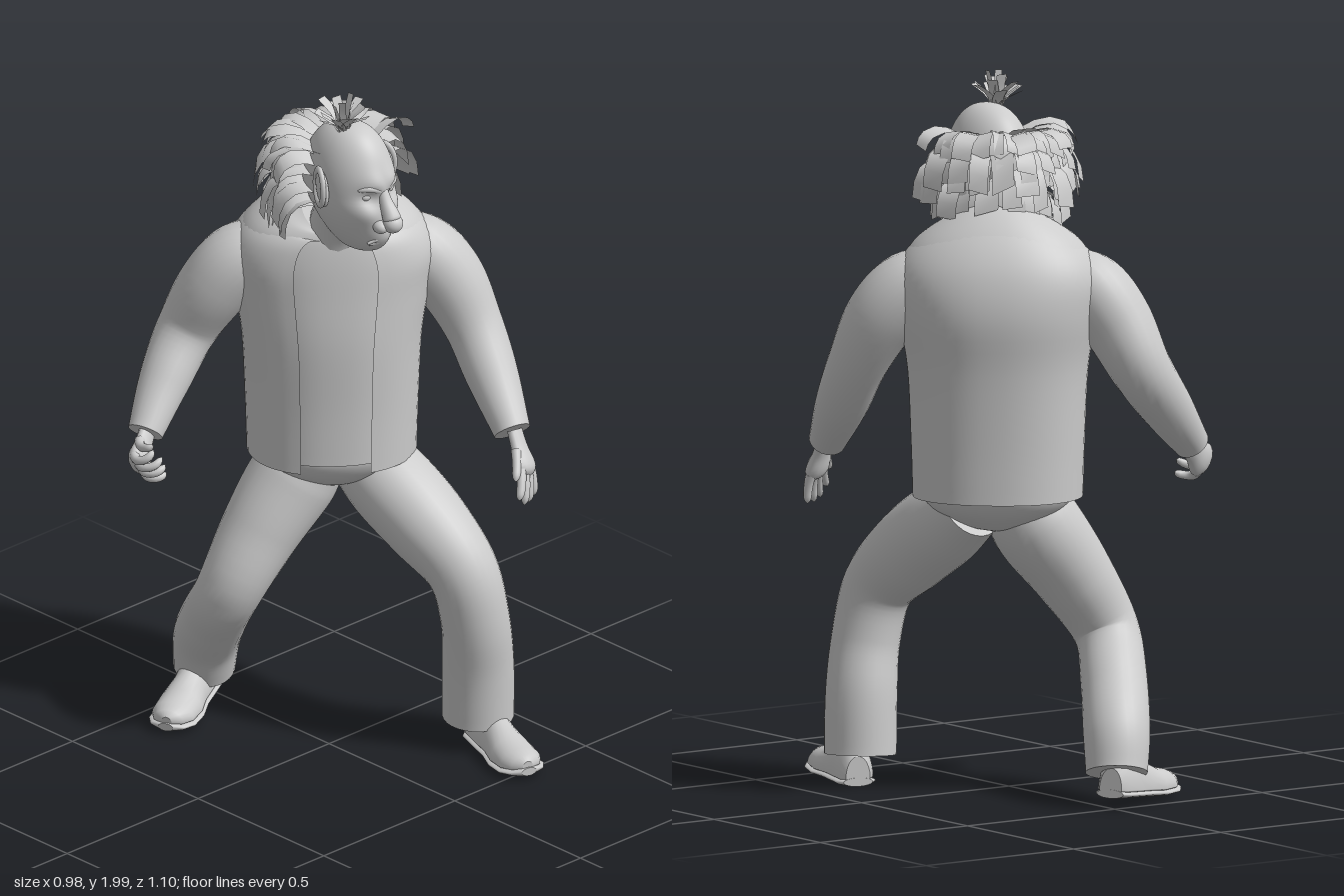
import * as THREE from 'three';
import { mergeGeometries } from 'three/addons/utils/BufferGeometryUtils.js';

const V = (x, y, z) => new THREE.Vector3(x, y, z);
const grey = new THREE.MeshStandardMaterial({ color: 0xcccccc });
const thin = new THREE.MeshStandardMaterial({ color: 0xcccccc, side: THREE.DoubleSide });

let seed = 7;
const rand = (a, b) => {
  seed = (seed * 16807) % 2147483647;
  return a + (b - a) * seed / 2147483647;
};

function add(parent, name, geometry, material = grey) {
  const mesh = new THREE.Mesh(geometry, material);
  mesh.name = name;
  parent.add(mesh);
  return mesh;
}

// Skin over a list of rings of points; closed rings also get end caps
function loft(rings, closed = true) {
  const n = rings[0].length, m = rings.length, pos = [], idx = [];
  rings.forEach(r => r.forEach(p => pos.push(p.x, p.y, p.z)));
  const w = closed ? n : n - 1;
  for (let i = 0; i < m - 1; i++) for (let j = 0; j < w; j++) {
    const a = i * n + j, b = i * n + (j + 1) % n;
    idx.push(a, b, b + n, a, b + n, a + n);
  }
  if (closed) [0, m - 1].forEach(i => {
    const base = pos.length / 3, c = V(0, 0, 0);
    rings[i].forEach(p => { c.addScaledVector(p, 1 / n); pos.push(p.x, p.y, p.z); });
    pos.push(c.x, c.y, c.z);
    for (let j = 0; j < n; j++) {
      const a = base + j, b = base + (j + 1) % n;
      i ? idx.push(a, b, base + n) : idx.push(b, a, base + n);
    }
  });
  const g = new THREE.BufferGeometry();
  g.setAttribute('position', new THREE.Float32BufferAttribute(pos, 3));
  g.setIndex(idx);
  g.computeVertexNormals();
  return g;
}

// Smooth interpolation of plain values, evenly spaced
const blend = pts => new THREE.CatmullRomCurve3(pts, false, 'catmullrom');

// Round limb through stations [x, y, z, radius]; tip rounds off the far end
function limb(st, steps = 24, sides = 20, tip = false, flat = 1, side = V(1, 0, 0)) {
  const path = new THREE.CatmullRomCurve3(st.map(s => V(s[0], s[1], s[2])));
  const rad = blend(st.map(s => V(s[3], 0, 0)));
  const rings = [];
  for (let i = 0; i <= steps; i++) {
    const k = i / steps, c = path.getPoint(k), t = path.getTangent(k);
    let r = rad.getPoint(k).x;
    if (tip) r *= Math.sqrt(Math.max(0.02, 1 - Math.max(0, (k - 0.75) / 0.25) ** 2));
    const u = side.clone().addScaledVector(t, -side.dot(t)).normalize(), v = t.clone().cross(u);
    rings.push(Array.from({ length: sides }, (_, j) => {
      const a = j / sides * Math.PI * 2;
      return c.clone().addScaledVector(u, r * Math.cos(a)).addScaledVector(v, r * flat * Math.sin(a));
    }));
  }
  return loft(rings);
}

// Torso skin from stations [y, half width, half depth, forward shift, front dip]
function trunk(st, gap, grow, n = 48) {
  const ca = blend(st.map(s => V(s[0], s[1], s[2])));
  const cb = blend(st.map(s => V(s[3], s[4], 0)));
  const rings = [];
  for (let i = 0; i <= 32; i++) {
    const p = ca.getPoint(i / 32), q = cb.getPoint(i / 32);
    rings.push(Array.from({ length: gap ? n + 1 : n }, (_, j) => {
      const a = gap + j / n * (Math.PI * 2 - 2 * gap), c = Math.cos(a), s = Math.sin(a);
      return V((p.y + grow) * Math.sign(s) * Math.abs(s) ** 0.9, p.x - q.y * c,
        (p.z + grow) * Math.sign(c) * Math.abs(c) ** 0.9 + q.x);
    }));
  }
  return loft(rings, !gap);
}

// Hand hanging from the wrist along dir, with curling fingers
function makeHand(name, at, dir, across, curl, sign) {
  const hand = new THREE.Group();
  hand.name = name;
  const y = dir.clone().normalize().negate();
  const x = across.clone().addScaledVector(y, -across.dot(y)).normalize();
  hand.matrix.makeBasis(x, y, x.clone().cross(y)).setPosition(at);
  hand.matrix.decompose(hand.position, hand.quaternion, hand.scale);
  add(hand, 'palm', limb([[0, 0.03, 0, 0.034], [0, -0.02, 0, 0.038], [0, -0.065, 0, 0.05], [0, -0.105, 0, 0.046]], 14, 16, true, 0.55));
  const finger = (nm, px, py, lean, len, bend) => {
    const st = [[px, py, 0, 0.0145]];
    let a = 0, fy = py, fz = 0;
    for (let i = 1; i <= 4; i++) {
      a += bend;
      fy -= Math.cos(a) * len / 4;
      fz += Math.sin(a) * len / 4 * sign;
      st.push([px + lean * i / 4, fy, fz, 0.0145 - i * 0.0009]);
    }
    add(hand, nm, limb(st, 12, 10, true));
  };
  [0.085, 0.1, 0.095, 0.08].forEach((l, i) => finger('finger', -0.036 + i * 0.024, -0.08, (i - 1.5) * 0.014, l, curl));
  finger('thumb', -0.03, -0.025, -0.035, 0.085, curl * 0.6);
  return hand;
}

// Shoe pointing along +z, heel at the back; tilt lifts the heel
function makeShoe(name, x, z, yaw, tilt) {
  const shoe = new THREE.Group();
  shoe.name = name;
  const st = [[-0.05, 0.035, 0.06], [-0.03, 0.05, 0.09], [0.04, 0.052, 0.1], [0.1, 0.053, 0.078], [0.16, 0.064, 0.058], [0.22, 0.062, 0.046], [0.255, 0.044, 0.034], [0.27, 0.015, 0.016]];
  const section = (grow, lift, top) => st.map(([sz, w, h]) => Array.from({ length: 24 }, (_, j) => {
    const a = j / 24 * Math.PI * 2, s = Math.sin(a), toe = Math.max(0, sz - 0.15);
    return V((w + grow) * Math.cos(a), lift + toe * toe + (s > 0 ? s * (top || h) : s * 0.012), sz * (1 + grow * 4));
  }));
  add(shoe, 'upper', loft(section(0, 0.025, 0)));
  add(shoe, 'sole', loft(section(0.007, 0.013, 0.012)));
  shoe.position.set(x, 0.25 * tilt, z);
  shoe.rotation.set(tilt, yaw, 0, 'YXZ');
  return shoe;
}

// Flat lock of hair along a list of points
const ribbon = (pts, side, w) => loft(new THREE.CatmullRomCurve3(pts).getPoints(5)
  .map(p => [p.clone().addScaledVector(side, -w / 2), p.clone().addScaledVector(side, w / 2)]), false);

function makeHead() {
  const head = new THREE.Group();
  head.name = 'head';
  head.position.set(0.04, 1.72, 0.045);

  // Skull: a sphere with full crown, narrowed jaw, brow, sockets, cheeks, mouth and chin
  const g = new THREE.SphereGeometry(1, 72, 56).rotateY(-Math.PI / 2), p = g.attributes.position;
  const bumps = [[0.035, 0.045, 0.012, 0.026], [0.042, 0.008, -0.02, 0.02], [0.062, -0.04, 0.012, 0.025], [0, -0.108, 0.014, 0.032], [0, -0.16, 0.035, 0.032], [0, -0.142, -0.006, 0.012]];
  for (let i = 0; i < p.count; i++) {
    const ny = p.getY(i), low = Math.max(0, -ny), front = p.getZ(i) > 0;
    const full = ny > 0 ? Math.max(0.01, Math.sqrt(Math.max(0, 1 - ny * ny))) ** -0.14 : 1;
    const x = p.getX(i) * full * 0.108 * (1 - 0.2 * low * low), y = ny * 0.186;
    let z = p.getZ(i) * full * (front ? 0.138 : 0.158 * (1 - 0.5 * low));
    if (front) for (const [bx, by, h, s] of bumps)
      z += h * p.getZ(i) ** 0.5 * Math.exp(-((Math.abs(x) - bx) ** 2 + (y - by) ** 2) / (2 * s * s));
    p.setXYZ(i, x, y, z + 0.02 * low);
  }
  g.computeVertexNormals();
  add(head, 'skull', g);

  const ball = (name, x, y, z, sx, sy, sz) => {
    const m = add(head, name, new THREE.SphereGeometry(1, 24, 16));
    m.position.set(x, y, z);
    m.scale.set(sx, sy, sz);
    return m;
  };
  add(head, 'noseBridge', limb([[0, 0.03, 0.122, 0.014], [0, -0.01, 0.139, 0.019], [0, -0.045, 0.16, 0.025], [0, -0.062, 0.168, 0.026]], 14, 16, true));
  ball('noseTip', 0, -0.065, 0.167, 0.029, 0.027, 0.028);
  add(head, 'upperLip', limb([[-0.044, -0.132, 0.112, 0.004], [-0.015, -0.119, 0.129, 0.006], [0.015, -0.119, 0.129, 0.006], [0.044, -0.132, 0.112, 0.004]], 16, 10, true, 1, V(0, 1, 0)));
  add(head, 'lowerLip', limb([[-0.038, -0.136, 0.112, 0.004], [0, -0.131, 0.129, 0.007], [0.038, -0.136, 0.112, 0.004]], 16, 10, true, 1, V(0, 1, 0)));
  for (const s of [-1, 1]) {
    ball('nostril', s * 0.027, -0.075, 0.145, 0.019, 0.018, 0.023);
    ball('eye', s * 0.041, 0.01, 0.103, 0.019, 0.014, 0.014);
    add(head, 'eyebrow', limb([[s * 0.014, 0.026, 0.132, 0.007], [s * 0.042, 0.038, 0.123, 0.01], [s * 0.072, 0.035, 0.1, 0.006]], 12, 10, true, 1, V(0, 1, 0)));
    ball('ear', s * 0.114, 0.025, 0.005, 0.015, 0.055, 0.034).rotation.set(-0.15, s * 0.45, 0);
    const rim = add(head, 'earRim', new THREE.TorusGeometry(0.034, 0.008, 10, 24));
    rim.position.set(s * 0.122, 0.03, 0.002);
    rim.rotation.set(0, Math.PI / 2 + s * 0.45, 0);
    rim.scale.y = 1.5;
  }

  // Ragged hair around the sides and back: [root height, reach, lift, drop, count]
  const locks = [];
  [[0.1, 0.14, 0.03, 0.06, 17], [0.075, 0.15, 0.02, 0.09, 18], [0.035, 0.15, 0.015, 0.1, 18], [-0.01, 0.13, 0.01, 0.1, 17], [-0.05, 0.1, 0, 0.085, 15]].forEach(([y, out, lift, drop, n]) => {
    for (let i = 0; i < n; i++) {
      const a = (i / (n - 1) - 0.5) * 2.6 + rand(-0.08, 0.08);
      const d = V(Math.sin(a), 0, -Math.cos(a)), o = out * rand(0.75, 1.15), h = drop * rand(0.7, 1.3);
      const at = (r, dy) => V(d.x * (0.085 + r), y + dy, d.z * (0.125 + r) - 0.01);
      const side = V(Math.cos(a), rand(-0.5, 0.5), Math.sin(a)).normalize();
      locks.push(ribbon([at(0, 0), at(o * 0.5, lift), at(o * 0.9, lift - h * 0.35), at(o, lift - h)], side, rand(0.045, 0.07)));
    }
  });
  add(head, 'sideHair', mergeGeometries(locks), thin).rotation.y = -0.2;

  // Fanned tuft on the crown: upright locks in the middle, drooping ones around
  const tuft = [];
  for (let i = 0; i < 18; i++) {
    const a = i * 2.4, inner = i < 6, o = inner ? 0.03 : rand(0.05, 0.085), h = inner ? 0.09 - i * 0.005 : rand(0.035, 0.065);
    const c = Math.cos(a), s = Math.sin(a);
    const at = (r, y) => V(-0.03 + c * r, 0.17 + y, s * r);
    tuft.push(ribbon([at(0.006, 0), at(0.01 + o * 0.2, h * 0.65), at(o, h + 0.015)], V(-s, 0, c), rand(0.02, 0.034)));
  }
  add(head, 'topTuft', mergeGeometries(tuft), thin);
  return head;
}

export function createModel() {
  const model = new THREE.Group();
  model.name = 'stridingMan';

  // Jacket, shirt and hips, turned to the model's right
  const body = new THREE.Group();
  body.name = 'torso';
  body.position.set(0.12, 0, -0.115);
  body.rotation.y = -0.7;
  model.add(body);
  const st = [[0.84, 0.235, 0.205, 0, 0], [1.0, 0.24, 0.205, 0, 0], [1.2, 0.25, 0.21, 0, 0], [1.35, 0.275, 0.212, -0.01, 0], [1.45, 0.285, 0.2, -0.005, 0.01], [1.525, 0.25, 0.175, 0.01, 0.02], [1.575, 0.18, 0.14, 0.035, 0.04], [1.595, 0.105, 0.105, 0.065, 0.06]];
  add(body, 'jacket', trunk(st, 0.38, 0), thin);
  add(body, 'shirt', trunk(st.map(s => [s[0] + 0.02, ...s.slice(1)]), 0, -0.016));
  add(body, 'hips', trunk([[0.745, 0.02, 0.05, 0, 0], [0.76, 0.09, 0.1, 0, 0], [0.8, 0.175, 0.155, 0, 0], [0.85, 0.21, 0.182, 0, 0], [0.9, 0.21, 0.18, 0, 0]], 0, 0));

  add(model, 'neck', limb([[0.07, 1.48, -0.06, 0.088], [0.06, 1.56, -0.03, 0.08], [0.045, 1.66, 0.02, 0.078]]));
  model.add(makeHead());

  // Arms: left swings forward, right swings back
  add(model, 'leftSleeve', limb([[0.24, 1.455, -0.025, 0.08], [0.32, 1.42, 0.025, 0.1], [0.378, 1.335, 0.075, 0.101], [0.41, 1.2, 0.145, 0.083], [0.4, 1.08, 0.23, 0.074], [0.368, 0.955, 0.345, 0.052]], 32, 24));
  add(model, 'rightSleeve', limb([[0, 1.455, -0.225, 0.08], [-0.075, 1.42, -0.275, 0.1], [-0.125, 1.335, -0.325, 0.101], [-0.172, 1.2, -0.385, 0.085], [-0.27, 1.08, -0.372, 0.072], [-0.38, 0.965, -0.335, 0.05]], 32, 24));
  model.add(makeHand('leftHand', V(0.367, 0.935, 0.367), V(-0.02, -0.165, 0.095), V(0.85, 0, -0.55), 0.1, -1));
  model.add(makeHand('rightHand', V(-0.385, 0.95, -0.33), V(-0.1, -0.075, 0.06), V(0.2, -1, 0.1), 0.66, 1));

  // Trouser legs: left steps forward, right trails with a bent knee
  add(model, 'leftLeg', limb([[0.19, 0.82, -0.09, 0.1], [0.2, 0.75, 0.025, 0.12], [0.22, 0.66, 0.155, 0.118], [0.245, 0.55, 0.272, 0.1], [0.272, 0.4, 0.297, 0.096], [0.298, 0.25, 0.282, 0.1], [0.308, 0.085, 0.272, 0.1]], 36, 28));
  add(model, 'rightLeg', limb([[0.07, 0.83, -0.14, 0.11], [0.025, 0.75, -0.17, 0.125], [-0.07, 0.62, -0.195, 0.112], [-0.168, 0.45, -0.225, 0.092], [-0.12, 0.32, -0.33, 0.093], [-0.06, 0.2, -0.425, 0.093], [-0.035, 0.095, -0.46, 0.086]], 36, 28));
  model.add(makeShoe('leftShoe', 0.325, 0.285, -0.32, 0));
  model.add(makeShoe('rightShoe', -0.035, -0.47, -1.13, 0.1));
  return model;
}
